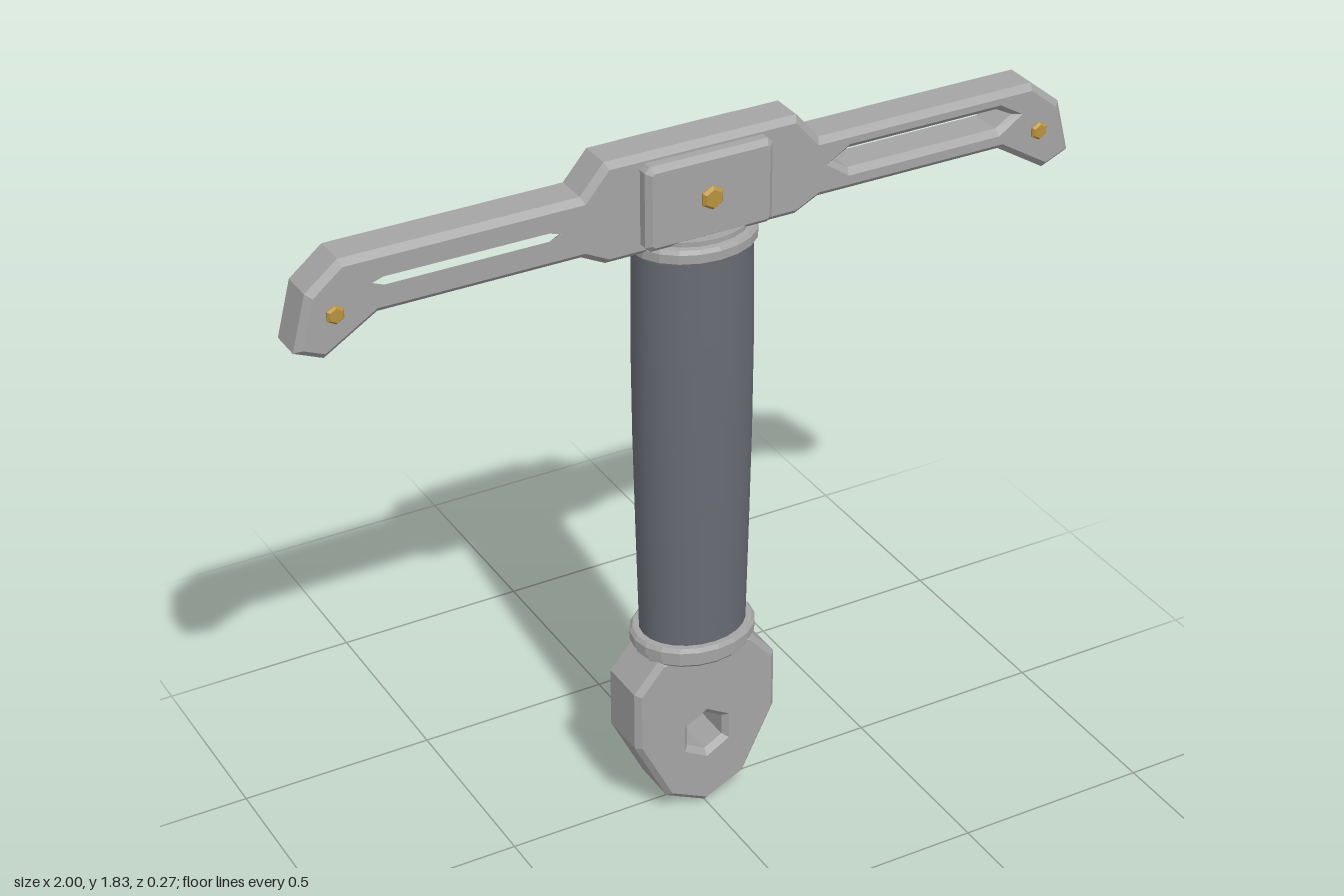
import * as THREE from 'three';

const mat = (name, color) => Object.assign(new THREE.MeshStandardMaterial({ color }), { name });

const points = (list) => list.map(([x, y]) => new THREE.Vector2(x, y));
// Closes a half outline (listed from top to bottom at +x) by mirroring it
const mirrored = (half) => [...half, ...half.filter(([x]) => x > 0).reverse().map(([x, y]) => [-x, y])];

// Slab centred on z = 0, with chamfered edges that stay inside the outline
function slab(outline, holes, halfDepth, bevel) {
  const shape = new THREE.Shape(points(outline));
  for (const hole of holes) shape.holes.push(new THREE.Path(points(hole)));
  const depth = 2 * (halfDepth - bevel);
  return new THREE.ExtrudeGeometry(shape, {
    depth, bevelEnabled: true, bevelSegments: 1,
    bevelThickness: bevel, bevelSize: bevel, bevelOffset: -bevel,
  }).translate(0, 0, -depth / 2);
}

export function createModel() {
  const steel = mat('steel', 0xa4a4a4);
  const wrap = mat('grip', 0x686b74);
  const brass = mat('brass', 0xb8923e);
  const model = new THREE.Group();

  function add(name, geometry, material) {
    const mesh = new THREE.Mesh(geometry, material);
    mesh.name = name;
    model.add(mesh);
    return mesh;
  }

  // Crossguard with drooping tips and a long slot in each arm
  const guard = mirrored([
    [0.245, 1.83], [0.305, 1.76], [0.885, 1.76], [0.965, 1.695], [1, 1.56],
    [0.93, 1.53], [0.8, 1.61], [0.305, 1.61], [0.245, 1.58],
  ]);
  const slot = (s) => [
    [0.835, 1.69], [0.79, 1.713], [0.385, 1.713], [0.34, 1.69], [0.385, 1.663], [0.79, 1.663],
  ].map(([x, y]) => [x * s, y]);
  add('crossguard', slab(guard, [slot(1), slot(-1)], 0.055, 0.015), steel);

  // Raised block around the middle of the guard
  const block = mirrored([[0.15, 1.81], [0.163, 1.797], [0.163, 1.613], [0.15, 1.6]]);
  add('guardBlock', slab(block, [], 0.09, 0.013), steel);

  // Hexagonal bolts through the guard, showing on both faces
  function bolt(name, x, y, radius, halfLength) {
    const chamfer = radius * 0.25;
    const profile = points([
      [0, -halfLength], [radius - chamfer, -halfLength], [radius, -halfLength + chamfer],
      [radius, halfLength - chamfer], [radius - chamfer, halfLength], [0, halfLength],
    ]);
    const geometry = new THREE.LatheGeometry(profile, 6).toNonIndexed();
    geometry.computeVertexNormals();
    geometry.rotateX(Math.PI / 2);
    add(name, geometry, brass).position.set(x, y, 0);
  }
  bolt('centreBolt', 0, 1.706, 0.03, 0.102);
  bolt('leftTipBolt', 0.904, 1.638, 0.023, 0.065);
  bolt('rightTipBolt', -0.904, 1.638, 0.023, 0.065);

  // Oval turned parts: profile radii are along x and flattened along z
  const turned = (profile, sides) =>
    new THREE.LatheGeometry(points(profile), sides).scale(1, 1, 0.83);

  add('grip', turned([
    [0.135, 0.48], [0.136, 0.54], [0.142, 0.8], [0.147, 1.05], [0.149, 1.3], [0.146, 1.58],
  ], 24), wrap);

  function collar(name, profile) {
    const geometry = turned(profile, 20).toNonIndexed();
    geometry.computeVertexNormals();
    add(name, geometry, steel);
  }
  collar('lowerCollar', [
    [0, 0.457], [0.142, 0.457], [0.15, 0.465], [0.15, 0.477], [0.16, 0.483],
    [0.16, 0.505], [0.152, 0.515], [0, 0.515],
  ]);
  collar('upperCollar', [
    [0, 1.558], [0.15, 1.558], [0.158, 1.566], [0.158, 1.588], [0.15, 1.597],
    [0.138, 1.6], [0.138, 1.612], [0, 1.612],
  ]);

  // Pommel with a hexagonal hole
  const pommel = mirrored([
    [0.125, 0.47], [0.195, 0.39], [0.195, 0.23], [0.108, 0.055], [0, 0.003],
  ]);
  const hexHole = Array.from({ length: 6 }, (_, i) => {
    const a = Math.PI / 2 + i * Math.PI / 3;
    return [0.056 * Math.cos(a), 0.217 + 0.056 * Math.sin(a)];
  });
  add('pommel', slab(pommel, [hexHole], 0.075, 0.014), steel);

  return model;
}
